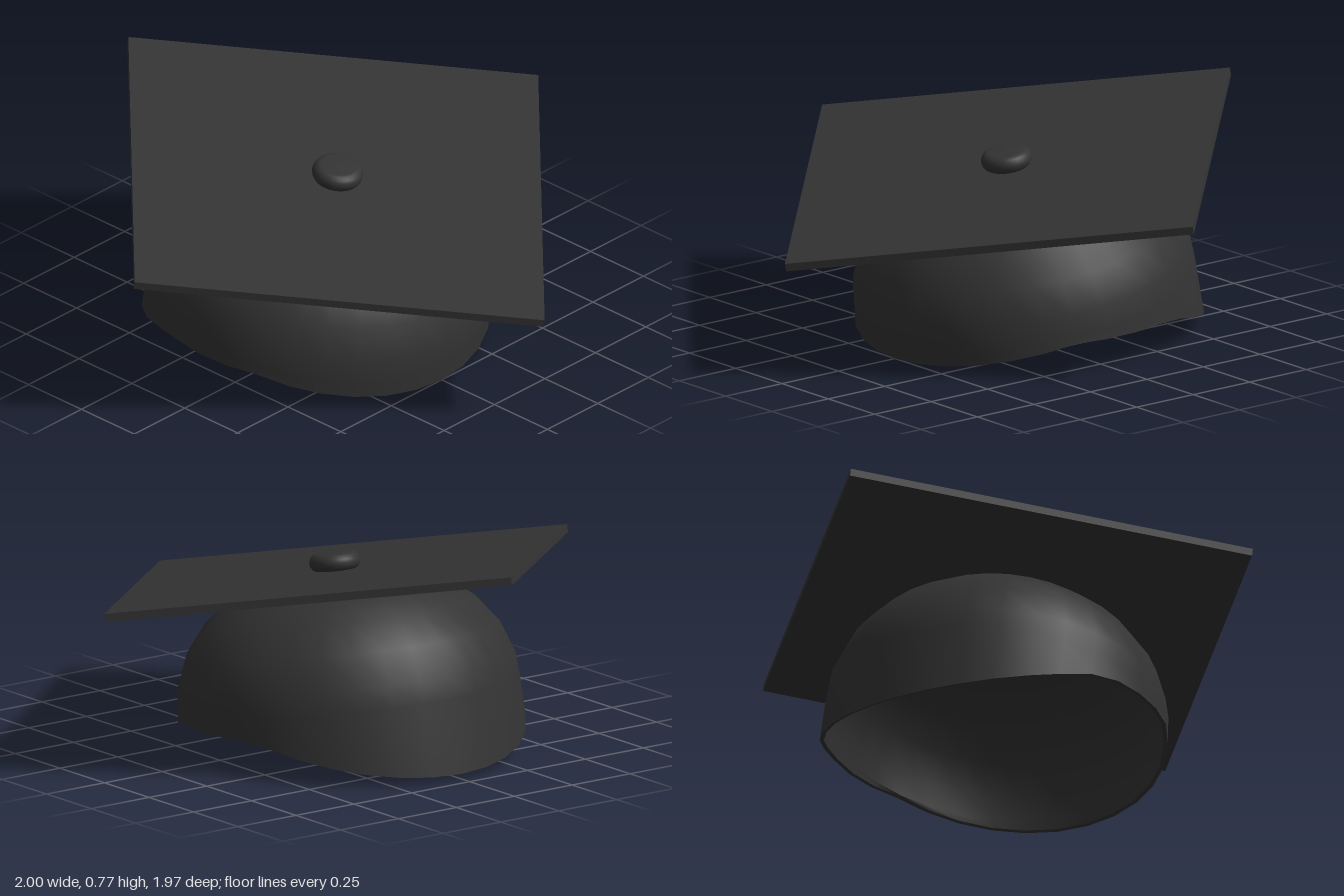
import * as THREE from 'three';
import { toCreasedNormals } from 'three/addons/utils/BufferGeometryUtils.js';

const TILT = THREE.MathUtils.degToRad(10);
const WALL = 0.014;

// Height of the skull cap's lower edge, from front (+z) to back (-z)
const RIM = [[0.6, -0.488], [0.23, -0.442], [-0.18, -0.493], [-0.6, -0.682]];
function rimHeight(z) {
  let i = 0;
  while (i < RIM.length - 2 && z < RIM[i + 1][0]) i++;
  const [z0, y0] = RIM[i], [z1, y1] = RIM[i + 1];
  return y0 + (y1 - y0) * (z0 - z) / (z0 - z1);
}

const toPoints = list => list.map(([r, y]) => new THREE.Vector2(r, y));

function skullCapGeometry() {
  // Outer wall from the rim to the crown
  const outer = [[0.594, -1], [0.59, -0.42], [0.584, -0.34], [0.541, -0.225], [0.465, -0.127],
    [0.377, -0.06], [0.27, -0.013], [0, -0.004]];
  const inner = outer.map(([r, y]) => [Math.max(0, r - WALL), y === -1 ? y : y - WALL * 1.4]).reverse();
  const geo = new THREE.LatheGeometry(toPoints([...inner, ...outer]), 32);
  // Cut the lower edge along the rim curve
  const p = geo.attributes.position;
  for (let i = 0; i < p.count; i++) {
    if (p.getY(i) < -0.9) p.setY(i, rimHeight(p.getZ(i)));
  }
  return toCreasedNormals(geo, 0.7);
}

function buttonGeometry() {
  // Flat disc with a rounded edge
  const profile = [[0, 0.008], [0.06, 0.008]];
  for (let i = 1; i <= 8; i++) {
    const a = -Math.PI / 2 + Math.PI * i / 8;
    profile.push([0.058 + 0.03 * Math.cos(a), 0.041 + 0.031 * Math.sin(a)]);
  }
  profile.push([0, 0.074]);
  return new THREE.LatheGeometry(toPoints(profile), 32);
}

export function createModel() {
  const model = new THREE.Group();
  model.name = 'graduationCap';
  const cloth = new THREE.MeshStandardMaterial({ color: 0x333333 });

  // Everything shares the backward tilt of the board
  const cap = new THREE.Group();
  cap.name = 'tiltedCap';
  cap.position.y = 0.585;
  cap.rotation.x = TILT;
  model.add(cap);

  const add = (name, geometry) => {
    const mesh = new THREE.Mesh(geometry, cloth);
    mesh.name = name;
    cap.add(mesh);
    return mesh;
  };

  // Square board with a corner to the front
  const board = add('board', new THREE.BoxGeometry(Math.SQRT2, 0.028, Math.SQRT2));
  board.rotation.y = Math.PI / 4;

  add('skullCap', skullCapGeometry());
  add('button', buttonGeometry());
  return model;
}
